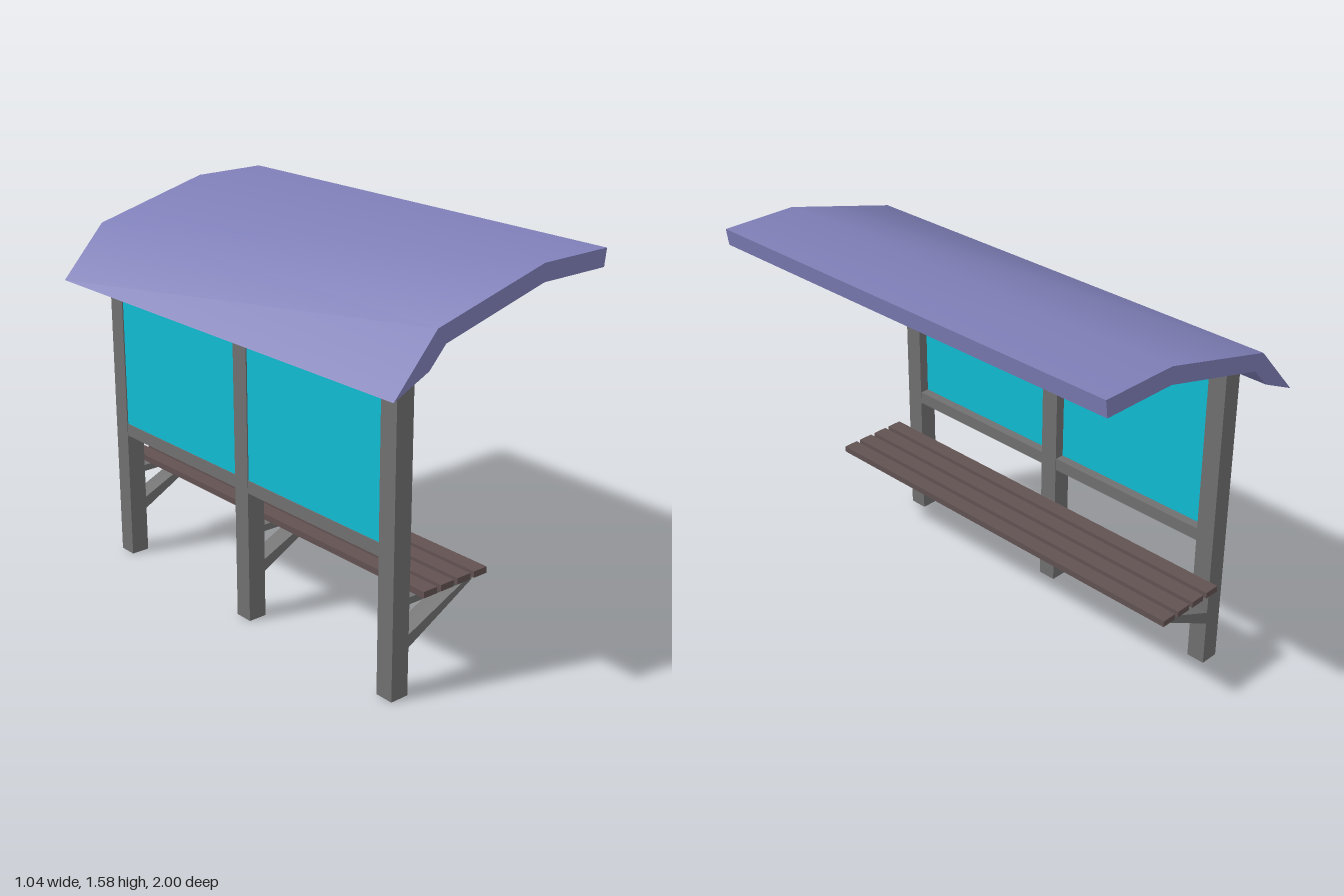
import * as THREE from 'three';
import { toCreasedNormals } from 'three/addons/utils/BufferGeometryUtils.js';

const paint = (color) => new THREE.MeshStandardMaterial({ color });

// Extrudes an x-y outline along z, centred on z = 0
function prism(points, depth) {
  const shape = new THREE.Shape(points.map(([x, y]) => new THREE.Vector2(x, y)));
  return new THREE.ExtrudeGeometry(shape, { depth, bevelEnabled: false }).translate(0, 0, -depth / 2);
}

export function createModel() {
  const group = new THREE.Group();
  const frame = paint(0x707070);
  const glass = paint(0x10bcd4);
  const wood = paint(0x625252);
  const roofPaint = paint(0x7f7fb8);

  function add(name, geometry, material, x = 0, y = 0, z = 0) {
    const mesh = new THREE.Mesh(geometry, material);
    mesh.name = name;
    mesh.position.set(x, y, z);
    group.add(mesh);
  }

  // Bent roof, smooth across its shallow folds
  const roof = prism([
    [-0.52, 1.225], [-0.36, 1.3], [-0.285, 1.38], [0.19, 1.505],
    [0.51, 1.505], [0.52, 1.575], [0.19, 1.575], [-0.325, 1.44],
  ], 2);
  add('roof', toCreasedNormals(roof, 0.7), roofPaint);

  // Posts cut to the slope of the roof, each with a braced seat bracket
  const post = prism([[-0.38, 0], [-0.3, 0], [-0.3, 1.364], [-0.36, 1.3], [-0.38, 1.291]], 0.08);
  const bracket = prism([
    [-0.3, 0.197], [0.02, 0.372], [0.02, 0.4], [-0.3, 0.4],
    [-0.3, 0.372], [-0.03, 0.372], [-0.3, 0.25],
  ], 0.08);
  for (const z of [-0.83, 0, 0.83]) {
    add('post', post, frame, 0, 0, z);
    add('seatBracket', bracket, frame, 0, 0, z);
  }

  // Rear panels and the rails that carry them
  const panel = prism([[-0.375, 0.61], [-0.342, 0.61], [-0.342, 1.319], [-0.36, 1.3], [-0.375, 1.293]], 0.75);
  const rail = new THREE.BoxGeometry(0.076, 0.054, 0.75);
  for (const z of [-0.415, 0.415]) {
    add('rearPanel', panel, glass, 0, 0, z);
    add('panelRail', rail, frame, -0.34, 0.583, z);
  }

  // Bench slats
  const slat = new THREE.BoxGeometry(0.066, 0.026, 1.84);
  for (let i = 0; i < 4; i++) add('benchSlat', slat, wood, -0.235 + i * 0.0855, 0.413, -0.01);

  return group;
}
